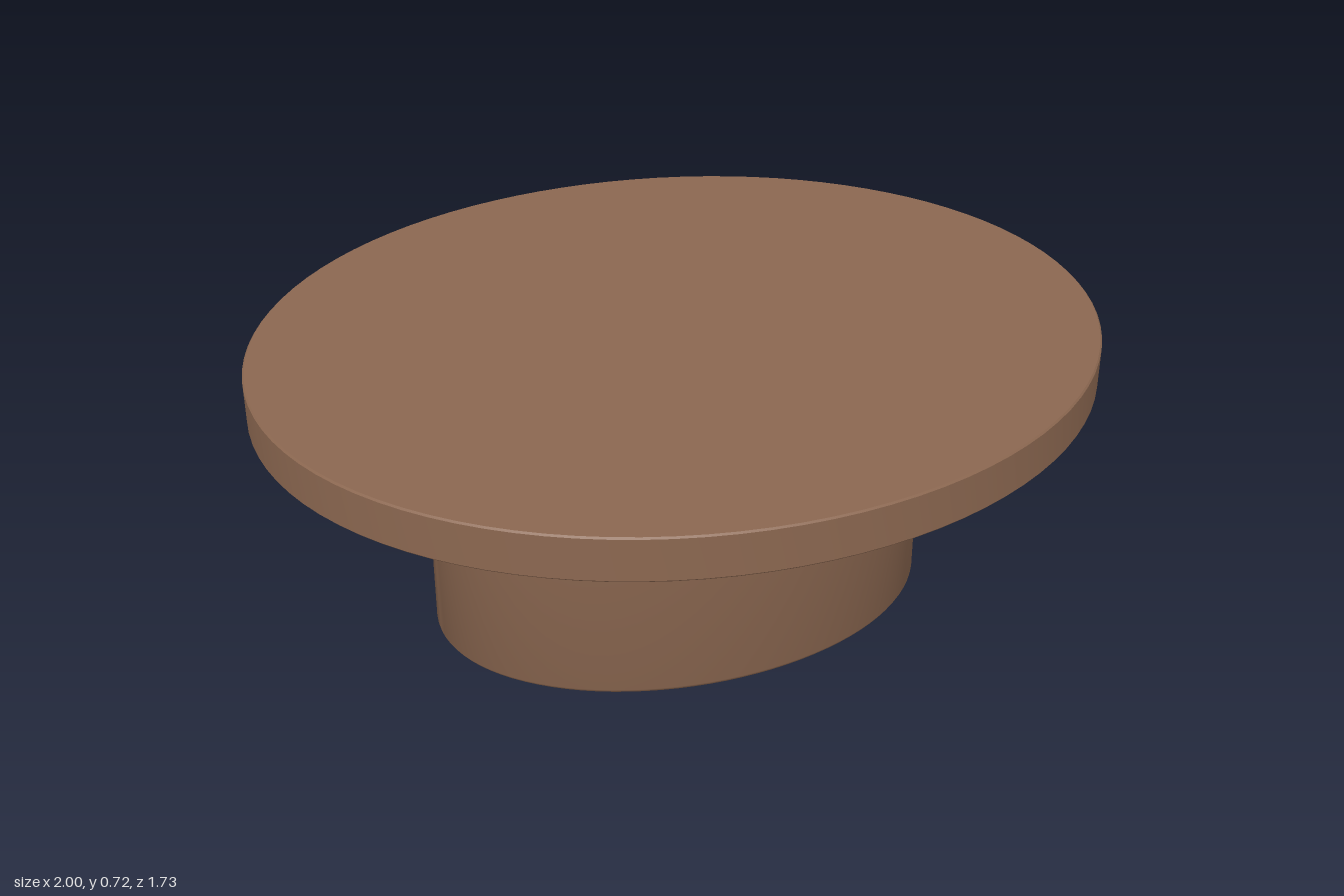
import * as THREE from 'three';
import { toCreasedNormals } from 'three/addons/utils/BufferGeometryUtils.js';

// Lathe a [radius, y] profile, then stretch it into an ellipse; radii are along x.
function ellipticLathe(profile, depthRatio) {
  const points = profile.map(([r, y]) => new THREE.Vector2(r, y));
  const geometry = new THREE.LatheGeometry(points, 96);
  geometry.scale(1, 1, depthRatio);
  return toCreasedNormals(geometry, 0.6);
}

export function createModel() {
  const group = new THREE.Group();
  group.name = 'ovalPedestalTable';

  const wood = new THREE.MeshStandardMaterial({ color: 0x8b6750 });
  wood.name = 'brown wood';

  // Oval top with a shallow recess inside a narrow rim underneath
  const top = new THREE.Mesh(ellipticLathe([
    [0, 0.625], [0.962, 0.625], [0.97, 0.612], [0.996, 0.612],
    [1, 0.616], [1, 0.714], [0.996, 0.718], [0, 0.718],
  ], 0.865), wood);
  top.name = 'tableTop';

  // Oval pedestal with a rounded bottom edge
  const profile = [[0, 0]];
  const bevel = 0.02;
  for (let i = 0; i <= 4; i++) {
    const a = (i / 4) * Math.PI / 2;
    profile.push([0.61 - bevel + bevel * Math.sin(a), bevel - bevel * Math.cos(a)]);
  }
  profile.push([0.61, 0.63]);
  const pedestal = new THREE.Mesh(ellipticLathe(profile, 0.422 / 0.61), wood);
  pedestal.name = 'pedestal';

  group.add(top, pedestal);
  return group;
}
